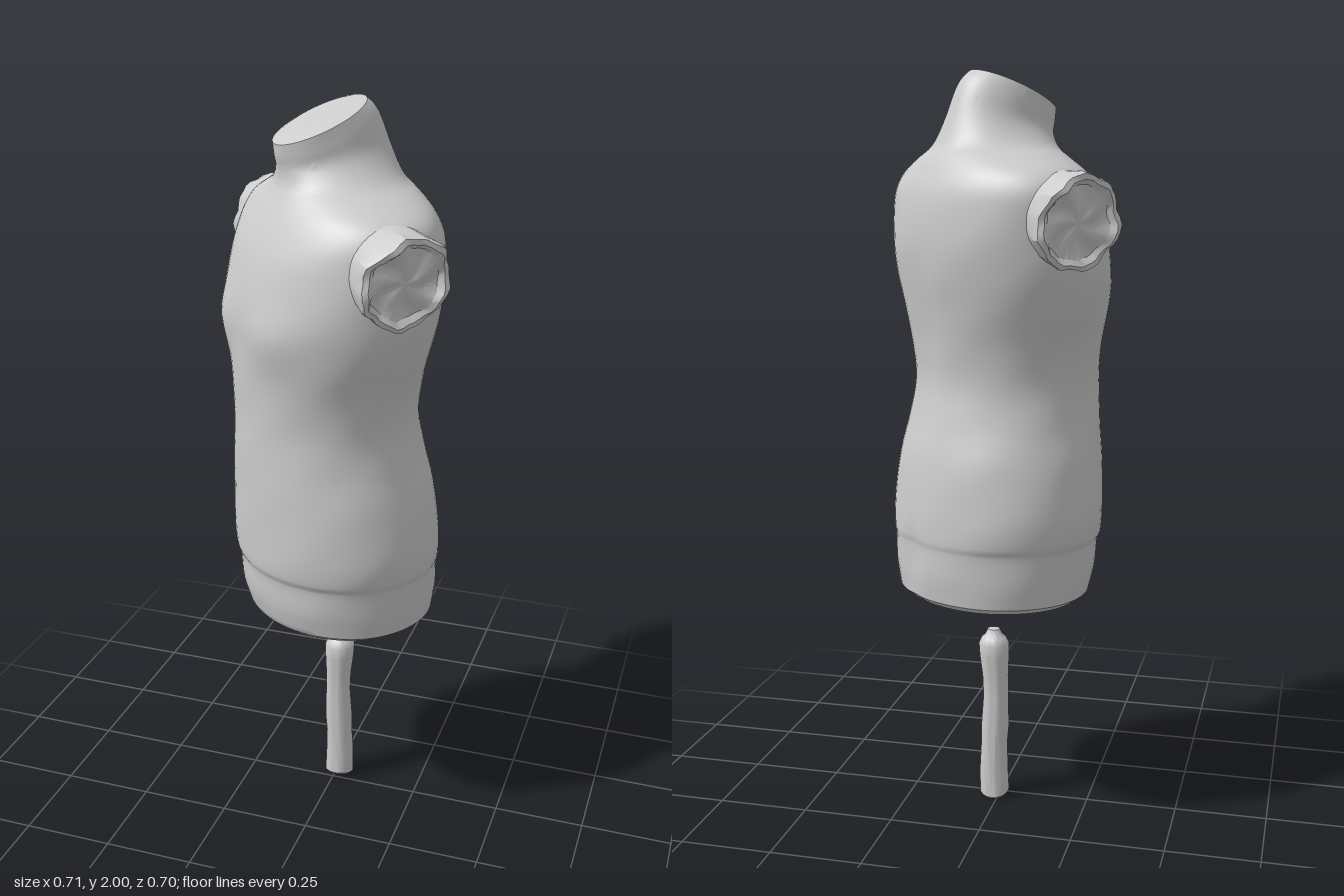
import * as THREE from 'three';
import { toCreasedNormals, mergeVertices } from 'three/addons/utils/BufferGeometryUtils.js';

const SIDES = 72;
const material = () => new THREE.MeshStandardMaterial({ color: 0xcccccc });
const bump = (x, y, sx, sy) => Math.exp(-((x / sx) ** 2) - (y / sy) ** 2);

function part(name, geometry) {
  const mesh = new THREE.Mesh(geometry, material());
  mesh.name = name;
  return mesh;
}

// Skin closed rings, listed from bottom to top
function loft(rings) {
  const pos = rings.flat(2), index = [], n = SIDES;
  for (let i = 0; i < rings.length - 1; i++) {
    for (let j = 0; j < n; j++) {
      const a = i * n + j, b = i * n + (j + 1) % n;
      index.push(a, a + n, b, b, a + n, b + n);
    }
  }
  const g = new THREE.BufferGeometry();
  g.setAttribute('position', new THREE.Float32BufferAttribute(pos, 3));
  g.setIndex(index);
  return toCreasedNormals(g, 0.65);
}

// Torso, chest towards +z: height, half width, front depth, back depth
function torsoGeometry() {
  const rows = [
    [0.635, 0.286, 0.228, -0.272], [0.70, 0.296, 0.245, -0.28], [0.775, 0.302, 0.25, -0.281],
    [0.80, 0.312, 0.258, -0.284], [0.87, 0.317, 0.261, -0.28], [1.0, 0.30, 0.262, -0.265],
    [1.1, 0.276, 0.262, -0.24], [1.2, 0.263, 0.26, -0.222], [1.3, 0.277, 0.262, -0.228],
    [1.4, 0.312, 0.264, -0.242], [1.48, 0.334, 0.264, -0.255], [1.56, 0.345, 0.252, -0.262],
    [1.64, 0.35, 0.23, -0.257], [1.70, 0.347, 0.203, -0.245], [1.745, 0.315, 0.178, -0.225],
    [1.78, 0.24, 0.158, -0.205], [1.81, 0.168, 0.146, -0.182], [1.86, 0.115, 0.146, -0.15],
    [1.91, 0.104, 0.152, -0.118], [1.95, 0.098, 0.156, -0.085],
  ];
  const sizes = new THREE.CatmullRomCurve3(rows.map(r => new THREE.Vector3(r[1], r[2], r[3])), false, 'catmullrom');
  const heights = new THREE.CatmullRomCurve3(rows.map(r => new THREE.Vector3(r[0], 0, 0)), false, 'catmullrom');

  const ring = (y, a, front, back) => {
    const out = [], mid = (front + back) / 2, half = (front - back) / 2;
    const tilt = THREE.MathUtils.smoothstep(y, 1.8, 1.94) * 0.42;
    for (let j = 0; j < SIDES; j++) {
      const t = j / SIDES * Math.PI * 2, s = Math.sin(t);
      const x = a * Math.cos(t);
      let z = mid + half * s;
      // Breasts on the front, spine and seat groove on the back
      if (s > 0) z += 0.016 * s * bump(Math.abs(x) - 0.14, y - 1.45, 0.09, 0.08);
      else z -= s * 0.012 * (bump(x, y - 1.35, 0.05, 0.3) + bump(x, y - 0.75, 0.03, 0.12));
      // Slight hand-made unevenness
      const wobble = 1 + 0.004 * Math.sin(5 * t + 13 * y) * Math.sin(19 * y + 2 * t);
      out.push([x * wobble, y - (z - 0.035) * tilt, z * wobble]);
    }
    return out;
  };

  const rings = [];
  // Shallow convex underside
  for (const [y, k] of [[0.59, 0.001], [0.593, 0.35], [0.606, 0.72], [0.618, 0.92]]) {
    rings.push(ring(y, 0.286 * k, -0.022 + 0.25 * k, -0.022 - 0.25 * k));
  }
  const steps = (rows.length - 1) * 4;
  for (let i = 0; i <= steps; i++) {
    const s = sizes.getPoint(i / steps);
    rings.push(ring(heights.getPoint(i / steps).x, s.x, s.y, s.z));
  }
  // Slanted cut across the neck
  for (const k of [0.85, 0.45, 0.001]) {
    rings.push(ring(1.955, 0.098 * k, 0.035 + 0.121 * k, 0.035 - 0.12 * k));
  }
  return loft(rings);
}

// Broken arm socket: ragged rim around a shallow hollow
function stumpGeometry(seed) {
  const profile = [[0.09, -0.2], [0.108, -0.12], [0.116, -0.06], [0.12, -0.02], [0.118, 0],
    [0.105, 0.004], [0.092, -0.008], [0.06, -0.012], [0.03, -0.008], [0, -0.01]];
  let g = new THREE.LatheGeometry(profile.map(p => new THREE.Vector2(...p)), 40);
  g.deleteAttribute('uv');
  g.deleteAttribute('normal');
  g = mergeVertices(g);
  const p = g.attributes.position;
  for (let i = 0; i < p.count; i++) {
    const x = p.getX(i), y = p.getY(i), z = p.getZ(i), t = Math.atan2(z, x);
    const r = Math.hypot(x, z);
    const edge = THREE.MathUtils.smoothstep(y, -0.08, 0) * Math.min(1, r / 0.09);
    const rag = Math.sin(3 * t + seed) * 0.4 + Math.sin(7 * t + seed * 2) * 0.35 + Math.sin(13 * t + r * 60) * 0.35;
    const k = 1 + 0.06 * edge * rag;
    p.setXYZ(i, x * k, y + 0.009 * edge * Math.sin(5 * t + seed + r * 40), z * k);
  }
  return toCreasedNormals(g, 0.5);
}

// Support peg: slightly waisted shaft with a small nub
function pegGeometry() {
  const profile = [[0, 0.016], [0.036, 0.016], [0.041, 0.022], [0.04, 0.08], [0.037, 0.16], [0.039, 0.21], [0.035, 0.3],
    [0.036, 0.36], [0.041, 0.42], [0.042, 0.455], [0.034, 0.472], [0.024, 0.48], [0.017, 0.496], [0, 0.5]];
  const g = new THREE.LatheGeometry(profile.map(p => new THREE.Vector2(...p)), 32);
  const p = g.attributes.position;
  for (let i = 0; i < p.count; i++) {
    const y = p.getY(i), low = 1 - THREE.MathUtils.smoothstep(y, 0, 0.1);
    p.setX(i, p.getX(i) + 0.003 * Math.sin(y * 16));
    p.setY(i, y + low * (p.getZ(i) * 0.3 - 0.004));
  }
  return toCreasedNormals(g, 0.6);
}

export function createModel() {
  const model = new THREE.Group();

  // The whole bust is turned an eighth of a turn
  const bust = new THREE.Group();
  bust.name = 'bust';
  bust.rotation.y = -Math.PI / 4;
  bust.add(part('torso', torsoGeometry()));
  for (const side of [1, -1]) {
    const stump = part(side > 0 ? 'leftArmStump' : 'rightArmStump', stumpGeometry(side + 2));
    stump.position.set(0.376 * side, 1.62, -0.005);
    stump.rotation.z = -side * (Math.PI / 2 + 0.22);
    bust.add(stump);
  }
  model.add(bust);

  const peg = part('supportPeg', pegGeometry());
  peg.position.set(0.012, 0, -0.022);
  model.add(peg);
  return model;
}
